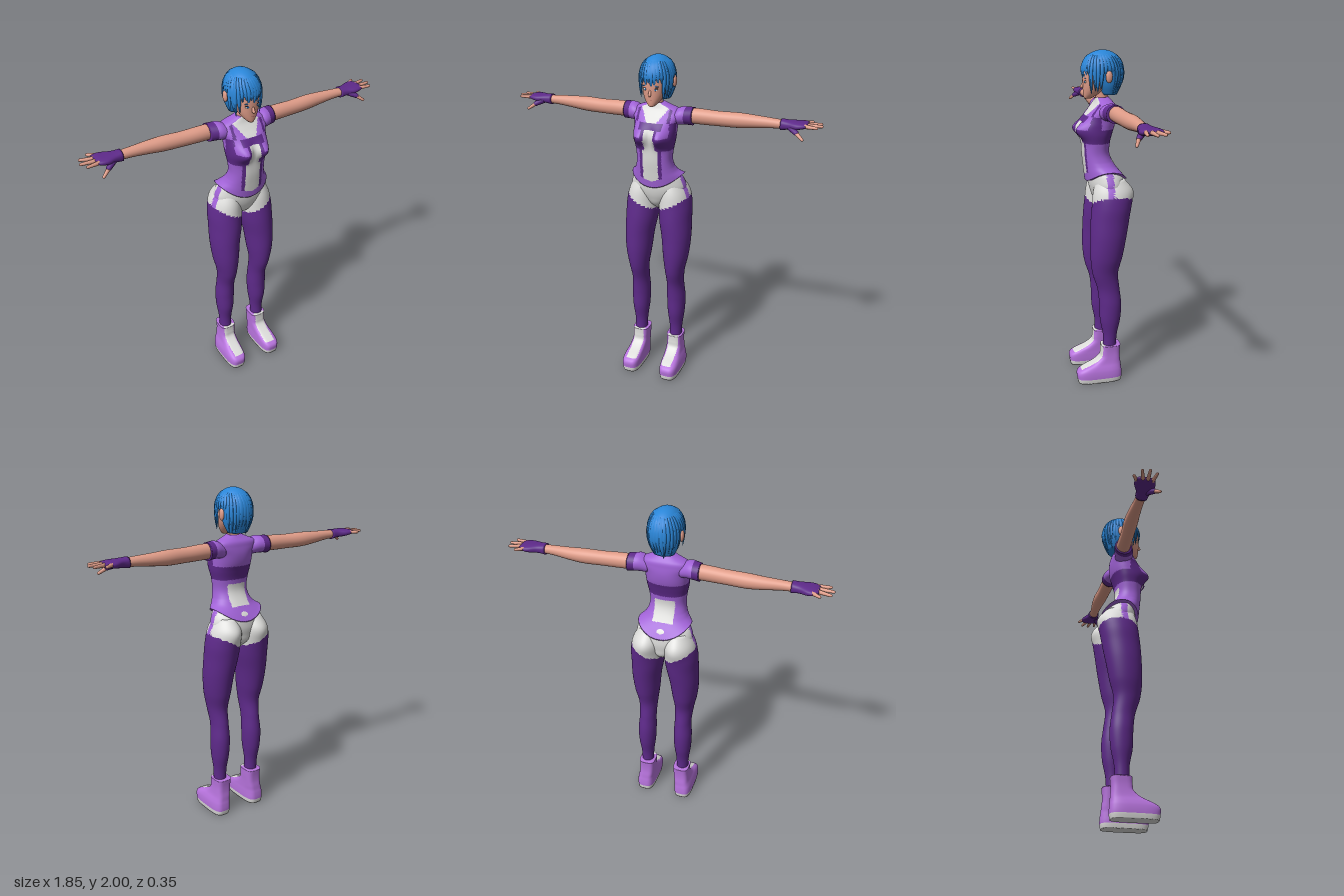
import * as THREE from 'three';

const paint = (name, hex) => {
  const m = new THREE.MeshStandardMaterial({ color: hex });
  m.name = name;
  return m;
};
const skin = paint('skin', 0xdf9c88), violet = paint('deepPurple', 0x5e2a8a), lilac = paint('lightPurple', 0xa062d6),
  bootLilac = paint('bootPurple', 0xb874de), white = paint('white', 0xdededc), blue = paint('hairBlue', 0x2a86d8),
  lip = paint('lipRed', 0x9c4a4c), dark = paint('lashDark', 0x2a2030);
blue.side = THREE.DoubleSide;

// Closed body of rings [y, centreX, centreZ, radiusX, radiusZ]; pick(x, y, z) gives the material of each face.
function loft(rings, { seg = 32, rows = 32, n = 2, warp, pick = () => skin } = {}) {
  const spline = new THREE.CubicInterpolant(rings.map(r => r[0]), rings.flat(), 5);
  const y0 = rings[0][0], y1 = rings[rings.length - 1][0];
  const pts = [], v = new THREE.Vector3();
  const power = c => Math.sign(c) * Math.abs(c) ** (2 / n);
  for (let j = 0; j <= rows; j++) {
    const [, cx, cz, rx, rz] = spline.evaluate(y0 + (y1 - y0) * j / rows);
    for (let i = 0; i < seg; i++) {
      const a = i / seg * Math.PI * 2;
      v.set(cx + rx * power(Math.cos(a)), y0 + (y1 - y0) * j / rows, cz + rz * power(Math.sin(a)));
      if (warp) warp(v);
      pts.push(v.x, v.y, v.z);
    }
  }
  const lo = rings[0], hi = rings[rings.length - 1], base = pts.length / 3;
  pts.push(lo[1], lo[0], lo[2], hi[1], hi[0], hi[2]);
  const faces = new Map();
  const tri = (...t) => {
    const mid = k => (pts[t[0] * 3 + k] + pts[t[1] * 3 + k] + pts[t[2] * 3 + k]) / 3;
    const m = pick(mid(0), mid(1), mid(2));
    if (!faces.has(m)) faces.set(m, []);
    faces.get(m).push(...t);
  };
  for (let i = 0; i < seg; i++) {
    const k = (i + 1) % seg, top = rows * seg;
    tri(base, i, k);
    tri(base + 1, top + k, top + i);
    for (let j = 0; j < rows; j++) {
      const a = j * seg + i, b = j * seg + k;
      tri(a, a + seg, b + seg);
      tri(a, b + seg, b);
    }
  }
  const g = new THREE.BufferGeometry();
  g.setAttribute('position', new THREE.Float32BufferAttribute(pts, 3));
  const index = [], mats = [...faces.keys()];
  mats.forEach((m, s) => {
    g.addGroup(index.length, faces.get(m).length, s);
    for (const q of faces.get(m)) index.push(q);
  });
  g.setIndex(index);
  g.computeVertexNormals();
  g.userData.mats = mats;
  return g;
}

// Tapered rod between two points, rounded at the far end
function rod(a, b, r0, r1) {
  const A = new THREE.Vector3(...a), B = new THREE.Vector3(...b), d = B.clone().sub(A), L = d.length();
  const g = new THREE.LatheGeometry([[0, 0], [r0, 0], [r1, L - r1], [r1 * 0.7, L - r1 * 0.3], [0, L]].map(p => new THREE.Vector2(...p)), 10);
  g.applyQuaternion(new THREE.Quaternion().setFromUnitVectors(new THREE.Vector3(0, 1, 0), d.normalize()));
  return g.translate(...a);
}

const ball = (x, y, z, rx, ry, rz) => new THREE.SphereGeometry(1, 16, 12).scale(rx, ry, rz).translate(x, y, z);

function mirrored(g) {
  const m = g.clone().scale(-1, 1, 1), ix = m.index.array;
  for (let i = 0; i < ix.length; i += 3) [ix[i], ix[i + 1]] = [ix[i + 1], ix[i]];
  return m;
}

// Flattened, tapering lock of hair
function lock(points, width) {
  const path = new THREE.CatmullRomCurve3(points.map(p => new THREE.Vector3(...p)));
  const N = 10, R = 6, g = new THREE.TubeGeometry(path, N, 1, R), p = g.attributes.position;
  const v = new THREE.Vector3();
  for (let i = 0; i < p.count; i++) {
    const t = Math.floor(i / (R + 1)) / N, c = path.getPointAt(t);
    const out = c.clone().sub(new THREE.Vector3(0, 1.87, -0.012)).normalize();
    v.fromBufferAttribute(p, i).sub(c).multiplyScalar(width * (0.55 + 0.9 * t) * (1 - t ** 3 * 0.95));
    v.addScaledVector(out, -0.6 * v.dot(out)).add(c);
    p.setXYZ(i, v.x, v.y, v.z);
  }
  g.computeVertexNormals();
  return g;
}

export function createModel() {
  const model = new THREE.Group();
  model.name = 'woman';
  const add = (name, g, mat) => {
    const mesh = new THREE.Mesh(g, mat || g.userData.mats);
    mesh.name = name;
    model.add(mesh);
  };
  const pair = (name, g, mat) => {
    const m = mat || g.userData.mats;
    add('left' + name, g, m);
    add('right' + name, mirrored(g), m);
  };

  // Legs with the white briefs painted over the hips
  pair('Leg', loft([[0.19, 0.118, -0.03, 0.036, 0.04], [0.3, 0.118, -0.033, 0.04, 0.043], [0.4, 0.118, -0.034, 0.052, 0.062],
    [0.5, 0.117, -0.035, 0.056, 0.067], [0.6, 0.115, -0.024, 0.051, 0.067], [0.7, 0.117, -0.004, 0.058, 0.077],
    [0.8, 0.12, -0.01, 0.075, 0.095], [0.92, 0.118, -0.022, 0.087, 0.106], [1.03, 0.107, -0.034, 0.096, 0.114],
    [1.12, 0.102, -0.045, 0.098, 0.116], [1.2, 0.095, -0.05, 0.088, 0.112], [1.27, 0.085, -0.04, 0.06, 0.08]], {
    seg: 48, rows: 90,
    warp: v => {
      if (v.z < -0.05) v.z -= 0.014 * Math.exp(-((v.x - 0.085) ** 2 + (v.y - 1.19) ** 2) / 0.004);
    },
    pick: (x, y, z) => y < 1.08 + 0.52 * x ? violet : x > 0.13 && z > -0.045 && z < -0.005 ? lilac : white,
  }));
  add('briefs', loft([[1.085, 0, -0.05, 0.012, 0.03], [1.12, 0, -0.048, 0.055, 0.075], [1.17, 0, -0.042, 0.125, 0.095],
    [1.22, 0, -0.038, 0.166, 0.104], [1.28, 0, -0.03, 0.155, 0.1], [1.34, 0, -0.005, 0.115, 0.07]], {
    seg: 48,
    pick: (x, y, z) => Math.abs(x) > 0.13 && z > -0.045 && z < -0.005 ? lilac : white,
  }));

  // Chunky boots: pale sole, purple body, white tongue
  pair('Boot', loft([[0, 0.127, 0.035, 0.054, 0.133], [0.03, 0.127, 0.035, 0.058, 0.138], [0.075, 0.126, 0.034, 0.057, 0.135],
    [0.095, 0.124, 0.02, 0.054, 0.118], [0.12, 0.12, -0.008, 0.05, 0.088], [0.155, 0.117, -0.03, 0.048, 0.062],
    [0.19, 0.115, -0.034, 0.048, 0.058], [0.235, 0.115, -0.037, 0.05, 0.059]], {
    seg: 48, rows: 40, n: 3.6,
    pick: (x, y, z) => y < 0.03 || (y > 0.09 && z > -0.005 && Math.abs(x - 0.118) < 0.033) ? white : bootLilac,
  }));

  // Fitted jacket and top, panelled in three colours
  const band = (y, a, b) => y > a && y < b;
  add('jacket', loft([[1.25, 0, -0.031, 0.156, 0.12], [1.29, 0, -0.014, 0.142, 0.108], [1.34, 0, 0.008, 0.122, 0.092],
    [1.41, 0, 0.029, 0.105, 0.079], [1.48, 0, 0.029, 0.111, 0.081], [1.53, 0, 0.024, 0.12, 0.088],
    [1.58, 0, 0.015, 0.123, 0.094], [1.63, 0, 0.003, 0.128, 0.088], [1.67, 0, -0.012, 0.145, 0.07],
    [1.7, 0, -0.02, 0.128, 0.056], [1.72, 0, -0.016, 0.08, 0.044], [1.735, 0, -0.012, 0.045, 0.036]], {
    seg: 96, rows: 96, n: 2.3,
    warp: v => {
      const ax = Math.abs(v.x);
      v.y += 0.07 * (v.x / 0.156) ** 2 * Math.max(0, 1 - (v.y - 1.25) / 0.12);
      const f = Math.min(1, Math.max(0, v.z / 0.06));
      v.z += f * 0.05 * Math.exp(-((ax - 0.062) ** 2 + (v.y - 1.555) ** 2) / 0.0022);
    },
    pick: (x, y, z) => {
      const ax = Math.abs(x);
      if (z < 0.02) {
        if (band(y, 1.48, 1.56)) return violet;
        return z < -0.02 && band(y, 1.33, 1.455) && ax < 0.06 ? white : lilac;
      }
      if (y > 1.635) return ax < 0.02 + (y - 1.62) * 0.7 ? white : ax > 0.085 && ax < 0.102 ? violet : lilac;
      if (y > 1.6) return ax < 0.07 ? violet : ax < 0.1 ? lilac : violet;
      if (y > 1.56) return ax < 0.03 ? white : ax < 0.045 || ax > 0.105 ? violet : lilac;
      if (y > 1.48) return ax < 0.032 ? white : violet;
      if (y < 1.29 + ax * 0.3) return lilac;
      return ax < 0.046 ? white : ax < 0.066 ? violet : lilac;
    },
  }));

  // Arms, sleeves and gloves: built upright, then laid along x
  const sideways = (rings, opt) => loft(rings.map(r => [r[0], -r[1], ...r.slice(2)]), opt).rotateZ(-Math.PI / 2);
  pair('Sleeve', sideways([[0.09, 1.65, -0.02, 0.042, 0.05], [0.14, 1.664, -0.026, 0.05, 0.06], [0.175, 1.664, -0.035, 0.05, 0.058],
    [0.205, 1.662, -0.042, 0.051, 0.054]], { rows: 20, pick: (x, y) => y > 0.165 ? violet : lilac }));
  pair('Arm', sideways([[0.14, 1.665, -0.042, 0.043, 0.042], [0.25, 1.664, -0.045, 0.044, 0.042], [0.35, 1.662, -0.05, 0.042, 0.04],
    [0.47, 1.663, -0.058, 0.042, 0.041], [0.55, 1.665, -0.06, 0.036, 0.036], [0.65, 1.668, -0.057, 0.028, 0.029],
    [0.72, 1.668, -0.055, 0.024, 0.028]]));
  pair('Glove', sideways([[0.7, 1.668, -0.055, 0.03, 0.035], [0.74, 1.67, -0.055, 0.025, 0.04], [0.79, 1.672, -0.06, 0.021, 0.058],
    [0.825, 1.675, -0.064, 0.016, 0.057], [0.845, 1.676, -0.064, 0.01, 0.048]], { rows: 16, n: 2.5, pick: () => violet }));
  [[0.83, -0.026, 0.905, -0.015], [0.835, -0.053, 0.925, -0.06], [0.835, -0.08, 0.915, -0.104], [0.81, -0.105, 0.862, -0.139]]
    .forEach(([x0, z0, x1, z1], i) => pair('Finger' + (i + 1), rod([x0, 1.676, z0], [x1, 1.676, z1], 0.012, 0.008), skin));
  pair('ThumbSleeve', rod([0.75, 1.665, -0.035], [0.805, 1.636, 0.004], 0.02, 0.014), violet);
  pair('Thumb', rod([0.792, 1.643, -0.004], [0.838, 1.61, 0.02], 0.012, 0.008), skin);

  // Neck and head
  add('neck', loft([[1.68, 0, -0.015, 0.042, 0.04], [1.74, 0, -0.008, 0.033, 0.036], [1.82, 0, 0, 0.035, 0.04]], { rows: 8 }));
  add('head', loft([[1.728, 0, 0.074, 0.016, 0.02], [1.745, 0, 0.06, 0.033, 0.037], [1.78, 0, 0.04, 0.055, 0.06],
    [1.82, 0, 0.02, 0.068, 0.082], [1.86, 0, 0.01, 0.074, 0.092], [1.91, 0, 0, 0.076, 0.096], [1.96, 0, -0.005, 0.058, 0.072],
    [1.985, 0, -0.005, 0.02, 0.025]], { n: 2.2 }));
  add('nose', rod([0, 1.825, 0.094], [0, 1.787, 0.112], 0.006, 0.009), skin);
  add('lips', ball(0, 1.765, 0.0925, 0.019, 0.006, 0.0065), lip);
  pair('Ear', ball(0.094, 1.855, -0.03, 0.012, 0.034, 0.02), skin);
  pair('EyeWhite', ball(0.03, 1.824, 0.0925, 0.014, 0.006, 0.0045), white);
  pair('Iris', ball(0.029, 1.824, 0.0955, 0.006, 0.006, 0.0035), blue);
  pair('Lash', ball(0.031, 1.831, 0.093, 0.016, 0.0025, 0.0045), dark);
  pair('Brow', ball(0.032, 1.843, 0.094, 0.018, 0.003, 0.004), blue);

  // Bobbed hair: crown, nape and a ring of overlapping locks
  add('hairCrown', new THREE.SphereGeometry(1, 40, 16, 0, Math.PI * 2, 0, Math.PI / 2).scale(0.096, 0.113, 0.123).translate(0, 1.885, -0.012), blue);
  add('hairNape', loft([[1.75, 0, -0.05, 0.06, 0.045], [1.8, 0, -0.046, 0.082, 0.068], [1.86, 0, -0.042, 0.091, 0.09],
    [1.91, 0, -0.035, 0.091, 0.096]], { rows: 12, pick: () => blue }));
  let seed = 7;
  const rand = () => (seed = (seed * 16807) % 2147483647) / 2147483647;
  const count = 34;
  for (let i = 0; i < count; i++) {
    const a = (i + 0.5) / count * Math.PI * 2 - Math.PI, aa = Math.abs(a);
    const tip = (aa < 0.75 ? 1.842 : aa < 1.5 ? 1.772 : aa < 2 ? 1.865 : 1.755) + (rand() - 0.5) * 0.03;
    const at = (r, y, turn = 0) => [0.097 * Math.sin(a + turn) * r, y, -0.012 + 0.121 * Math.cos(a + turn) * r];
    const swing = (rand() - 0.4) * 0.22;
    add('hairLock' + (i + 1), lock([at(0.25, 1.986, -0.3), at(0.7, 1.964, -0.1), at(0.96, 1.912),
      at(0.99, (1.912 + tip) / 2, swing * 0.4), at(aa > 2 ? 0.74 : 0.9, tip, swing)], 0.015), blue);
  }
  return model;
}
